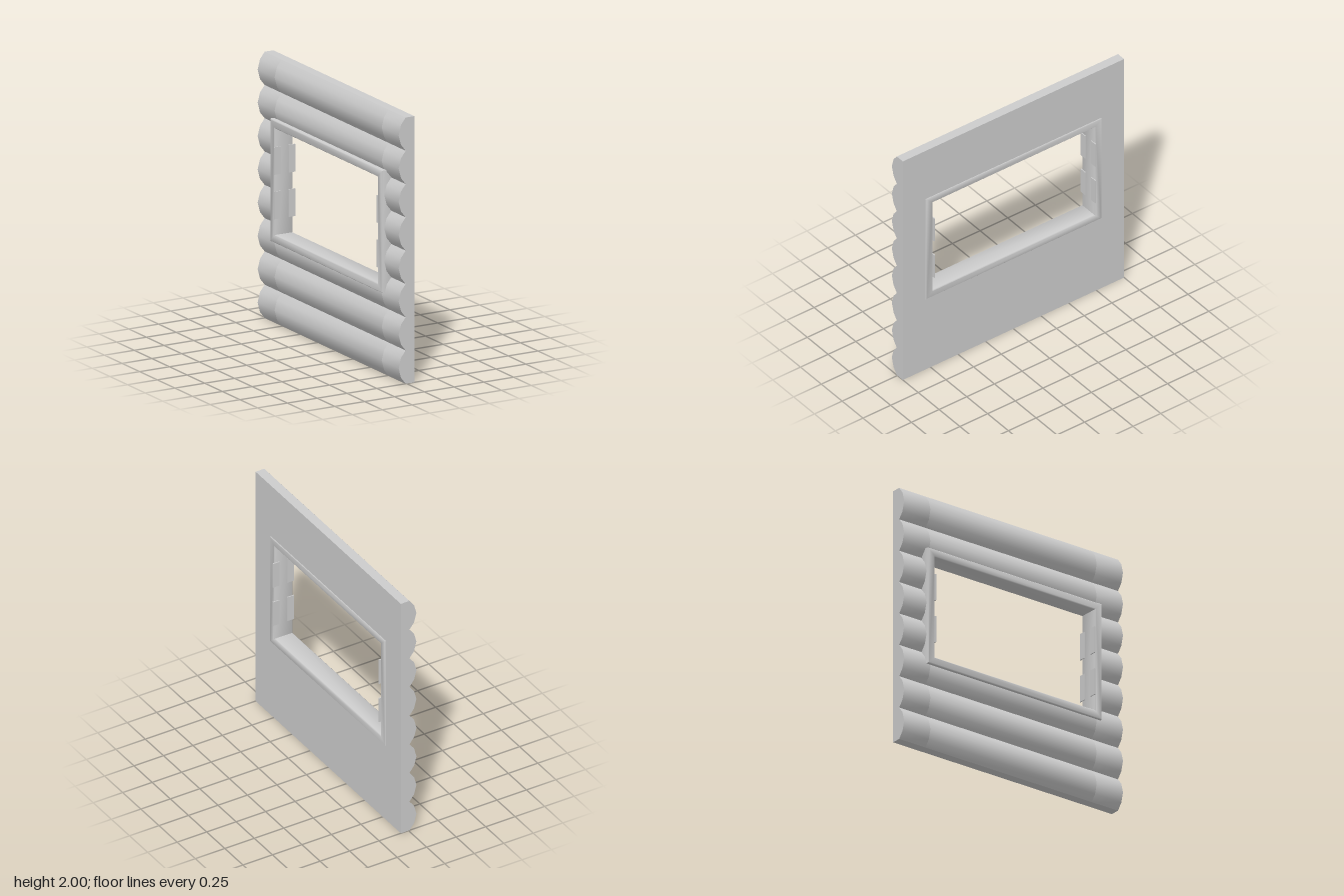
import * as THREE from 'three';
import { toCreasedNormals } from 'three/addons/utils/BufferGeometryUtils.js';

const grey = new THREE.MeshStandardMaterial({ color: 0xcccccc });
grey.name = 'plainGrey';

const INNER_X = 0.065;   // flat face of the wall
const LOG = 0.25;        // height of one log
const LOG_EDGE = [[0, -0.008], [0.05, -0.047], [0.125, -0.067], [0.2, -0.047], [0.25, -0.008]];

// x of the scalloped log side at height y
function logX(y) {
  const t = y % LOG;
  const i = Math.max(1, LOG_EDGE.findIndex(p => p[0] >= t));
  const [y0, x0] = LOG_EDGE[i - 1], [y1, x1] = LOG_EDGE[i];
  return x0 + (x1 - x0) * (t - y0) / (y1 - y0);
}

// Slab of log wall between two heights and two depths
function wallPiece(name, y0, y1, z0, z1) {
  const edge = [y0];
  for (let n = 0; n < 8; n++) {
    for (const [t] of LOG_EDGE.slice(0, 4)) {
      const y = n * LOG + t;
      if (y > y0 + 1e-4 && y < y1 - 1e-4) edge.push(y);
    }
  }
  edge.push(y1);
  const shape = new THREE.Shape();
  shape.moveTo(INNER_X, y0);
  shape.lineTo(INNER_X, y1);
  edge.reverse().forEach(y => shape.lineTo(logX(y), y));
  shape.closePath();
  const geo = new THREE.ExtrudeGeometry(shape, { depth: z1 - z0, bevelEnabled: false });
  geo.translate(0, 0, z0);
  const mesh = new THREE.Mesh(toCreasedNormals(geo, 0.7), grey);
  mesh.name = name;
  return mesh;
}

function rectangle(path, halfWidth, y0, y1) {
  path.moveTo(-halfWidth, y0);
  path.lineTo(halfWidth, y0);
  path.lineTo(halfWidth, y1);
  path.lineTo(-halfWidth, y1);
  path.closePath();
  return path;
}

export function createModel() {
  const model = new THREE.Group();
  model.name = 'logWallWithWindow';

  // Wall around the opening
  model.add(
    wallPiece('wallLeftEnd', 0, 2, 0.76, 1),
    wallPiece('wallRightEnd', 0, 2, -1, -0.76),
    wallPiece('wallBelowWindow', 0, 0.67, -0.76, 0.76),
    wallPiece('wallAboveWindow', 1.53, 2, -0.76, 0.76)
  );

  // Window frame running through the wall, with softened edges
  const outline = rectangle(new THREE.Shape(), 0.796, 0.64, 1.56);
  outline.holes.push(rectangle(new THREE.Path(), 0.73, 0.7, 1.5));
  const bevel = 0.007, back = -0.085, front = 0.071;
  const frameGeo = new THREE.ExtrudeGeometry(outline, {
    depth: front - back - 2 * bevel, bevelEnabled: true, bevelSegments: 1,
    bevelSize: bevel, bevelThickness: bevel, bevelOffset: -bevel
  });
  frameGeo.translate(0, 0, back + bevel).rotateY(Math.PI / 2);
  const frame = new THREE.Mesh(toCreasedNormals(frameGeo, 0.9), grey);
  frame.name = 'windowFrame';
  model.add(frame);

  // Thin hinge plates on both jambs, on both sides of the wall
  const hingeGeo = new THREE.BoxGeometry(0.053, 0.207, 0.009);
  for (const z of [-0.728, 0.728]) {
    for (const x of [-0.063, 0.059]) {
      for (const y of [0.924, 1.258]) {
        const hinge = new THREE.Mesh(hingeGeo, grey);
        hinge.name = 'hingePlate';
        hinge.position.set(x, y, z);
        model.add(hinge);
      }
    }
  }
  return model;
}
